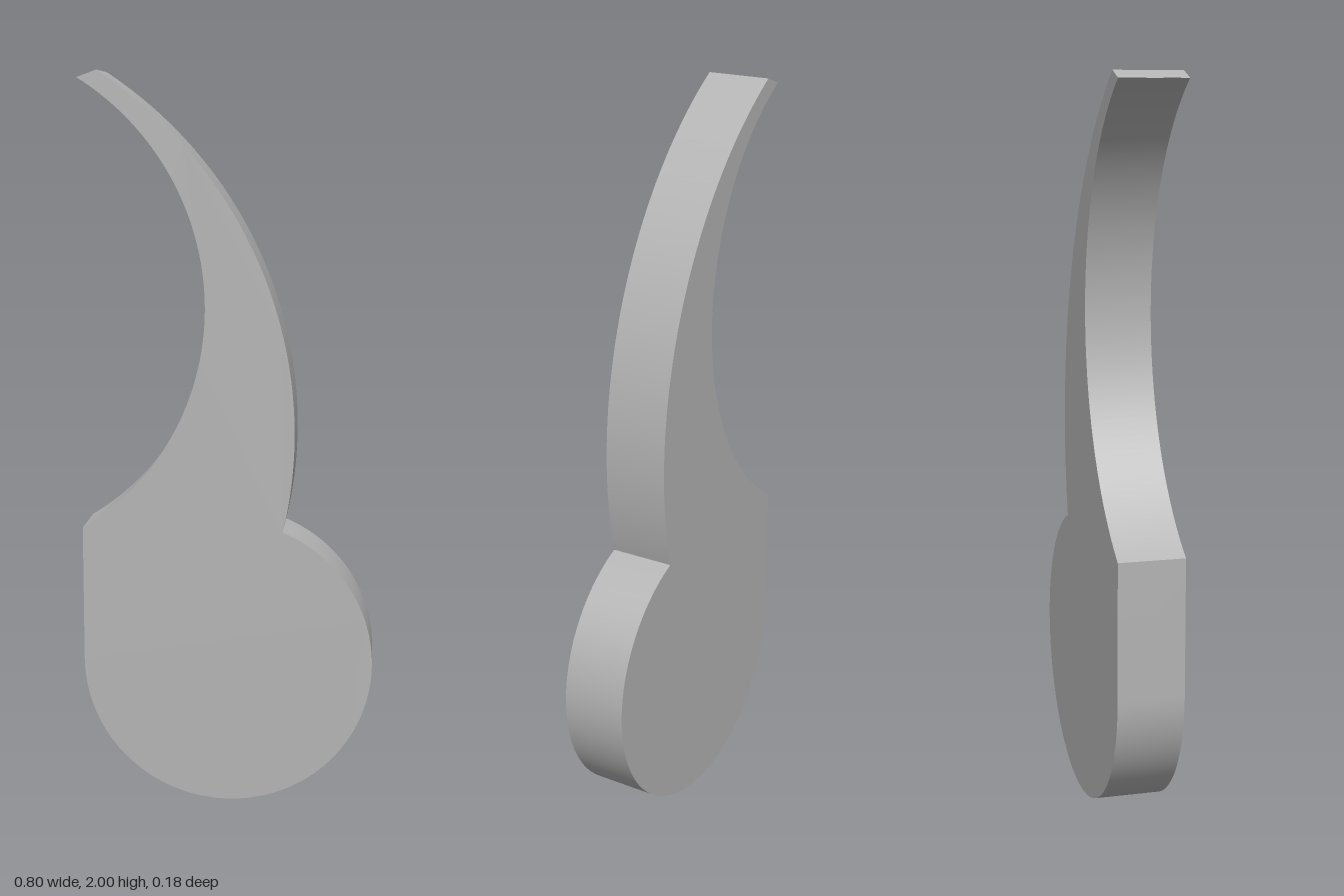
import * as THREE from 'three';
import { toCreasedNormals } from 'three/addons/utils/BufferGeometryUtils.js';

const DEPTH = 0.182;

// Adds a circular arc about (cx, cy) running between two points.
function arcBetween(shape, cx, cy, r, from, to, clockwise) {
  const a = Math.atan2(from[1] - cy, from[0] - cx);
  const b = Math.atan2(to[1] - cy, to[0] - cx);
  shape.absarc(cx, cy, r, a, b, clockwise);
}

export function createModel() {
  const group = new THREE.Group();
  group.name = 'curvedHook';

  const grey = new THREE.MeshStandardMaterial({ color: 0xb4b4b4 });
  grey.name = 'grey';

  const shoulder = [-0.398, 0.77];
  const notch = [0.15, 0.767];
  const tipRight = [-0.344, 2.0];
  const tipLeft = [-0.398, 1.98];

  // Outline: flat left edge, round base, outer sweep, blunt tip, inner sweep
  const outline = new THREE.Shape();
  outline.moveTo(...shoulder);
  outline.lineTo(-0.398, 0.398);
  arcBetween(outline, 0, 0.398, 0.398, [-0.398, 0.398], notch, false);
  arcBetween(outline, -0.974, 1.03, 1.156, notch, tipRight, false);
  outline.lineTo(...tipLeft);
  arcBetween(outline, -0.771, 1.375, 0.711, tipLeft, shoulder, true);

  // Flat plate with smooth curved sides and sharp rims
  const geometry = new THREE.ExtrudeGeometry(outline, {
    depth: DEPTH, bevelEnabled: false, curveSegments: 40,
  });
  geometry.translate(0, 0, -DEPTH / 2);

  const body = new THREE.Mesh(toCreasedNormals(geometry, Math.PI / 9), grey);
  body.name = 'hookBody';
  group.add(body);
  return group;
}
